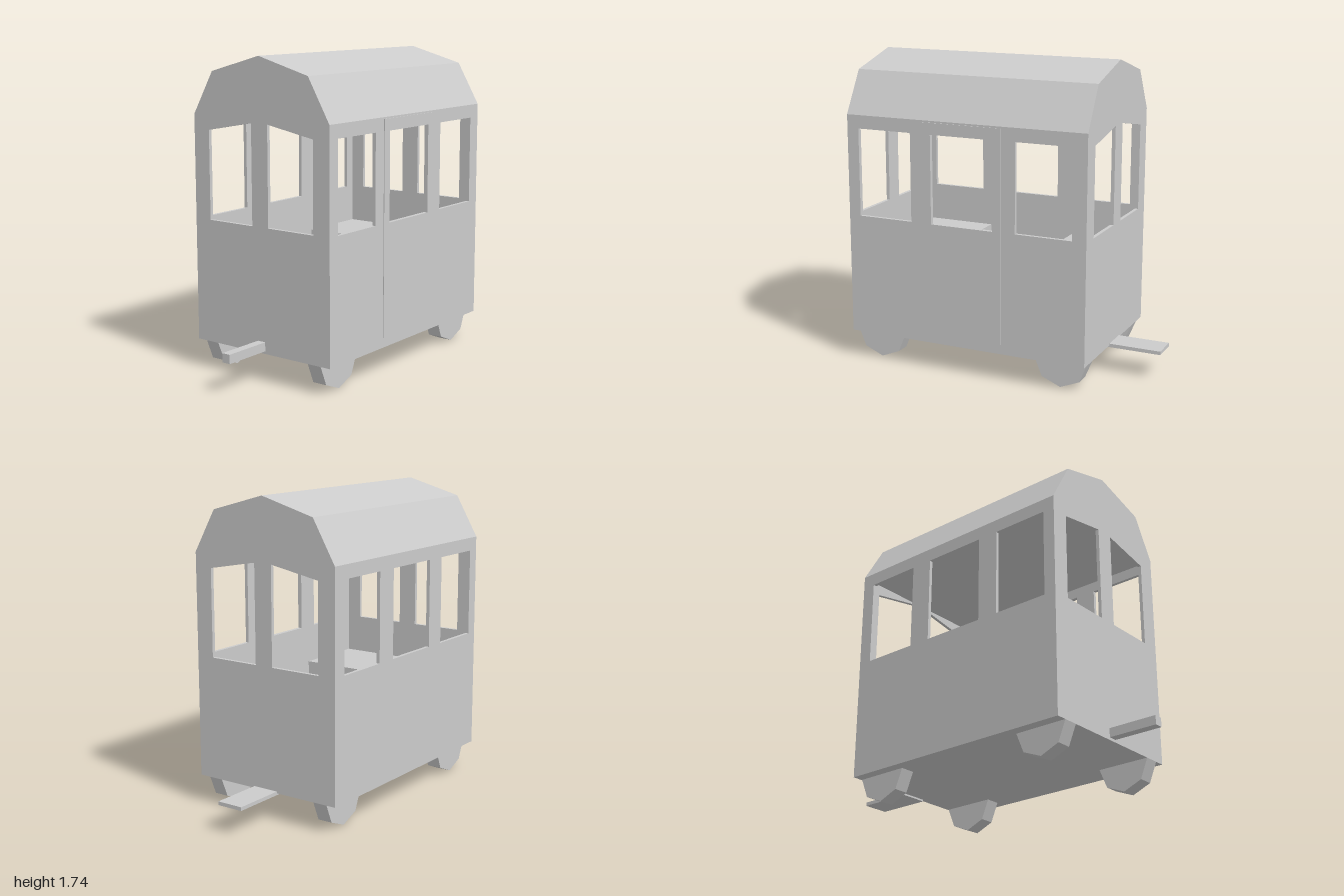
import * as THREE from 'three';

const FRONT = 0.72, BACK = -0.705, HALF = 0.46, FLOOR = 0.155, EAVE = 1.41, T = 0.02;

export function createModel() {
  const model = new THREE.Group();
  const mat = new THREE.MeshStandardMaterial({ color: 0xcccccc, flatShading: true });

  const add = (name, geo, x = 0, y = 0, z = 0) => {
    const mesh = new THREE.Mesh(geo, mat);
    mesh.name = name;
    mesh.position.set(x, y, z);
    model.add(mesh);
    return mesh;
  };
  // Box given by its limits on each axis
  const box = (name, x0, x1, y0, y1, z0, z1) =>
    add(name, new THREE.BoxGeometry(x1 - x0, y1 - y0, z1 - z0), (x0 + x1) / 2, (y0 + y1) / 2, (z0 + z1) / 2);

  const polygon = (pts, Type = THREE.Shape) => new Type(pts.map(p => new THREE.Vector2(...p)));
  const rect = (a, b, c, d) => [[a, c], [b, c], [b, d], [a, d]];
  const panel = (outline, holes, depth) => {
    const shape = polygon(outline);
    shape.holes = holes.map(h => polygon(h, THREE.Path));
    return new THREE.ExtrudeGeometry(shape, { depth, bevelEnabled: false });
  };

  // End walls with a gable top and two slanted windows
  const gable = [[HALF, EAVE], [0.325, 1.645], [0, 1.735], [-0.325, 1.645], [-HALF, EAVE]];
  const endOutline = [[-HALF, FLOOR], [HALF, FLOOR], ...gable];
  const endWindows = [1, -1].map(s =>
    [[0.055, 0.84], [0.355, 0.84], [0.355, 1.33], [0.055, 1.385]].map(([x, y]) => [s * x, y]));
  const endWall = panel(endOutline, endWindows, T);
  add('frontWall', endWall, 0, 0, FRONT - T);
  add('backWall', endWall, 0, 0, BACK);

  // Side walls with three windows, drawn along -z
  const zf = FRONT - T, zb = BACK + T;
  const doorWindow = rect(-0.2, 0.17, 0.84, 1.335);
  const sideWindows = [rect(-0.65, -0.325, 0.84, 1.335), doorWindow, rect(0.3, 0.625, 0.84, 1.335)];
  const sideWall = panel(rect(-zf, -zb, FLOOR, EAVE), sideWindows, T);
  add('leftWall', sideWall, HALF - T).rotation.y = Math.PI / 2;
  add('rightWall', sideWall, -HALF).rotation.y = Math.PI / 2;

  // Door panel on the left side only
  const door = panel(rect(-0.25, 0.22, 0.21, 1.4), [doorWindow], 0.004);
  add('door', door, HALF).rotation.y = Math.PI / 2;

  // Roof, ceiling and floor
  add('roof', panel(gable, [], zf - zb), 0, 0, zb);
  box('ceiling', -HALF + T, HALF - T, EAVE - 0.015, EAVE, zb, zf);
  box('floor', -HALF + T, HALF - T, FLOOR, FLOOR + T, zb, zf);

  // Full-width benches against both ends
  box('frontBench', -HALF + T, HALF - T, FLOOR + T, 0.62, 0.27, zf);
  box('backBench', -HALF + T, HALF - T, FLOOR + T, 0.62, zb, -0.265);

  // Eight-sided wheels half sunk in the body
  const wheel = new THREE.CylinderGeometry(0.155, 0.155, 0.085, 8).rotateZ(Math.PI / 2);
  for (const z of [0.565, -0.545])
    for (const s of [1, -1]) add('wheel', wheel, s * 0.3575, 0.155, z);

  // Tow bar in front, step plate behind
  box('towBar', -0.025, 0.025, 0.17, 0.22, zf, 1);
  box('rearPlate', -0.077, 0.077, 0.145, 0.165, -1, zb);

  return model;
}
